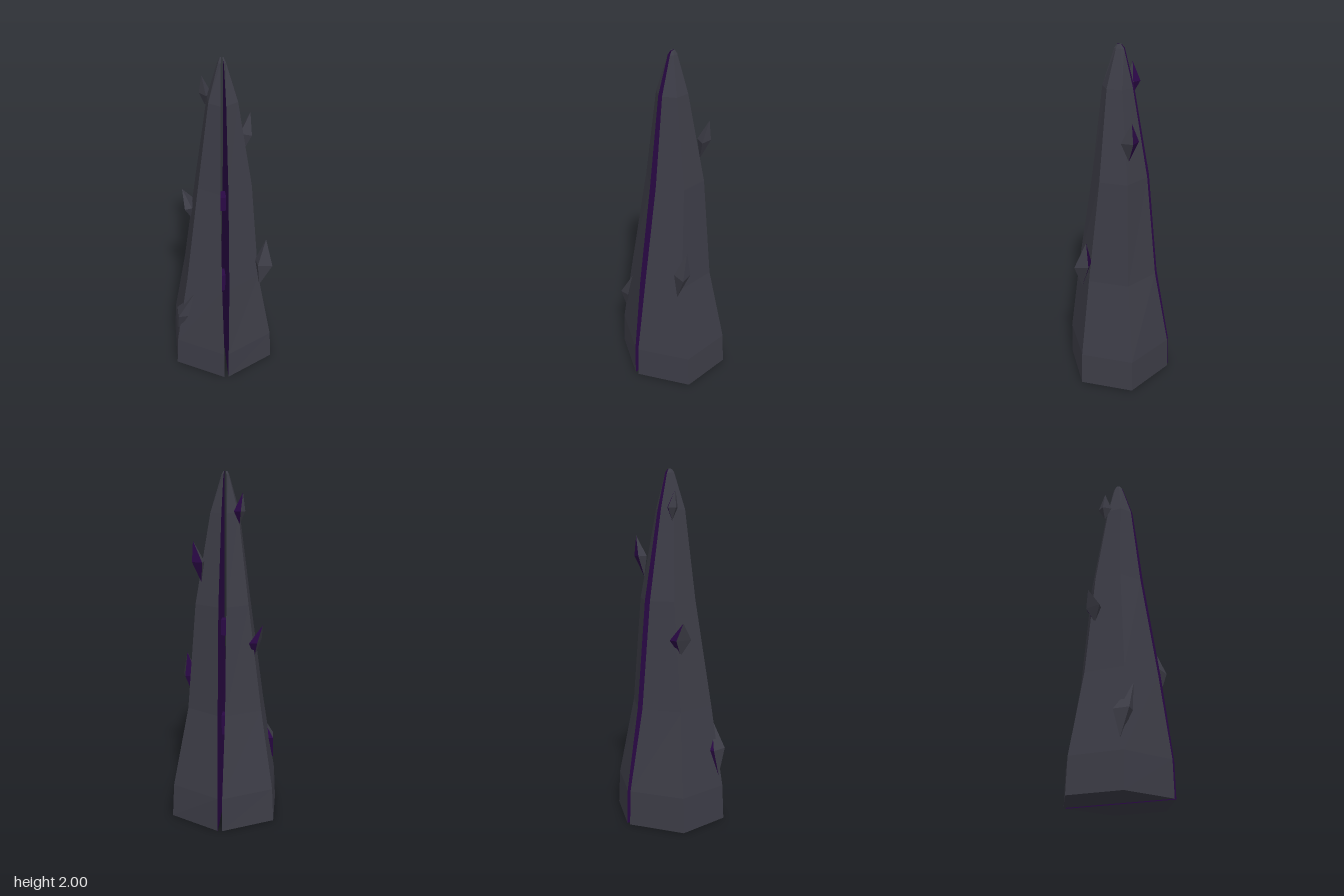
import * as THREE from 'three';

const stone = new THREE.MeshStandardMaterial({ color: 0x3c3c46, flatShading: true });
const violet = new THREE.MeshStandardMaterial({ color: 0x2a0845, flatShading: true });

// Flat-shaded mesh from polygons (arrays of [x, y, z] corners, counter-clockwise)
function polyMesh(name, polygons, material) {
  const pos = [];
  for (const p of polygons)
    for (let i = 1; i < p.length - 1; i++) pos.push(...p[0], ...p[i], ...p[i + 1]);
  const geo = new THREE.BufferGeometry();
  geo.setAttribute('position', new THREE.Float32BufferAttribute(pos, 3));
  geo.computeVertexNormals();
  const mesh = new THREE.Mesh(geo, material);
  mesh.name = name;
  return mesh;
}

// Spire sections: height, left extent, right extent, front, back, half gap
const sections = [
  [0, 0.3, 0.3, 0.313, 0.313, 0.0125],
  [0.2, 0.29, 0.29, 0.308, 0.308, 0.013],
  [0.67, 0.205, 0.217, 0.245, 0.223, 0.021],
  [1.28, 0.159, 0.138, 0.15, 0.165, 0.022],
  [1.78, 0.079, 0.074, 0.09, 0.077, 0.014],
  [1.98, 0.02, 0.02, 0.027, 0.027, 0.008],
  [2, 0.011, 0.011, 0.012, 0.012, 0.004],
];

// One half of the split hexagonal spire; side is +1 (left) or -1 (right)
function spireHalf(side) {
  const rings = sections.map(([y, xl, xr, front, back, gap]) => {
    const x = side * (side > 0 ? xl : xr), g = side * gap;
    const mid = (front - back) / 2, half = (front + back) / 4;
    return [[g, y, front], [x, y, mid + half], [x, y, mid - half], [g, y, -back]];
  });
  const turn = (p) => (side > 0 ? p : [...p].reverse());
  const outer = [turn([...rings[0]].reverse()), turn(rings[rings.length - 1])];
  const inner = [];
  for (let k = 0; k < rings.length - 1; k++) {
    const a = rings[k], b = rings[k + 1];
    for (let i = 0; i < 4; i++) {
      const j = (i + 1) % 4;
      (i < 3 ? outer : inner).push(turn([a[i], a[j], b[j], b[i]]));
    }
  }
  const half = new THREE.Group();
  half.name = side > 0 ? 'leftSpireHalf' : 'rightSpireHalf';
  half.add(polyMesh('outerShell', outer, stone), polyMesh('innerWall', inner, violet));
  return half;
}

// Shards: top point, bottom point, waist height and waist corners [x, z]
// starting with the violet rear edge, counter-clockwise from above
const shards = [
  { name: 'upperRightShard', top: [-0.1, 1.89, -0.047], bottom: [-0.083, 1.72, -0.055], waist: 1.79,
    ring: [[-0.052, -0.063], [-0.092, -0.093], [-0.114, -0.055], [-0.08, -0.012]] },
  { name: 'upperLeftShard', top: [0.166, 1.635, -0.11], bottom: [0.125, 1.405, -0.085], waist: 1.52,
    ring: [[0.171, -0.12], [0.113, -0.137], [0.108, -0.08], [0.17, -0.053]] },
  { name: 'middleRightShard', top: [-0.22, 1.17, -0.093], bottom: [-0.172, 0.98, -0.07], waist: 1.07,
    ring: [[-0.145, -0.127], [-0.19, -0.117], [-0.21, -0.025], [-0.168, -0.035]] },
  { name: 'lowerLeftShard', top: [0.243, 0.94, 0.128], bottom: [0.207, 0.635, 0.168], waist: 0.79,
    ring: [[0.256, 0.113], [0.185, 0.117], [0.193, 0.18], [0.276, 0.191]] },
  { name: 'lowerRightShard', top: [-0.183, 0.58, 0.165], bottom: [-0.282, 0.265, 0.13], waist: 0.42,
    ring: [[-0.252, 0.085], [-0.282, 0.09], [-0.28, 0.18], [-0.22, 0.175]] },
];

function makeShard({ name, top, bottom, waist, ring }) {
  const e = ring.map(([x, z]) => [x, waist, z]);
  const faces = e.map((p, i) => {
    const q = e[(i + 1) % 4];
    return [[p, q, top], [q, p, bottom]];
  });
  const shard = new THREE.Group();
  shard.name = name;
  shard.add(polyMesh('shardFacets', faces.slice(1).flat(), stone), polyMesh('shardRearFacets', faces[0], violet));
  return shard;
}

export function createModel() {
  const model = new THREE.Group();
  model.name = 'splitSpire';
  model.add(spireHalf(1), spireHalf(-1));
  for (const s of shards) model.add(makeShard(s));

  // Small bridges joining the halves inside the gap
  for (const [name, y, h] of [['lowerBridge', 0.54, 0.12], ['upperBridge', 1.135, 0.09]]) {
    const bridge = new THREE.Mesh(new THREE.BoxGeometry(0.06, h, 0.066), violet);
    bridge.name = name;
    bridge.position.y = y;
    model.add(bridge);
  }
  return model;
}
